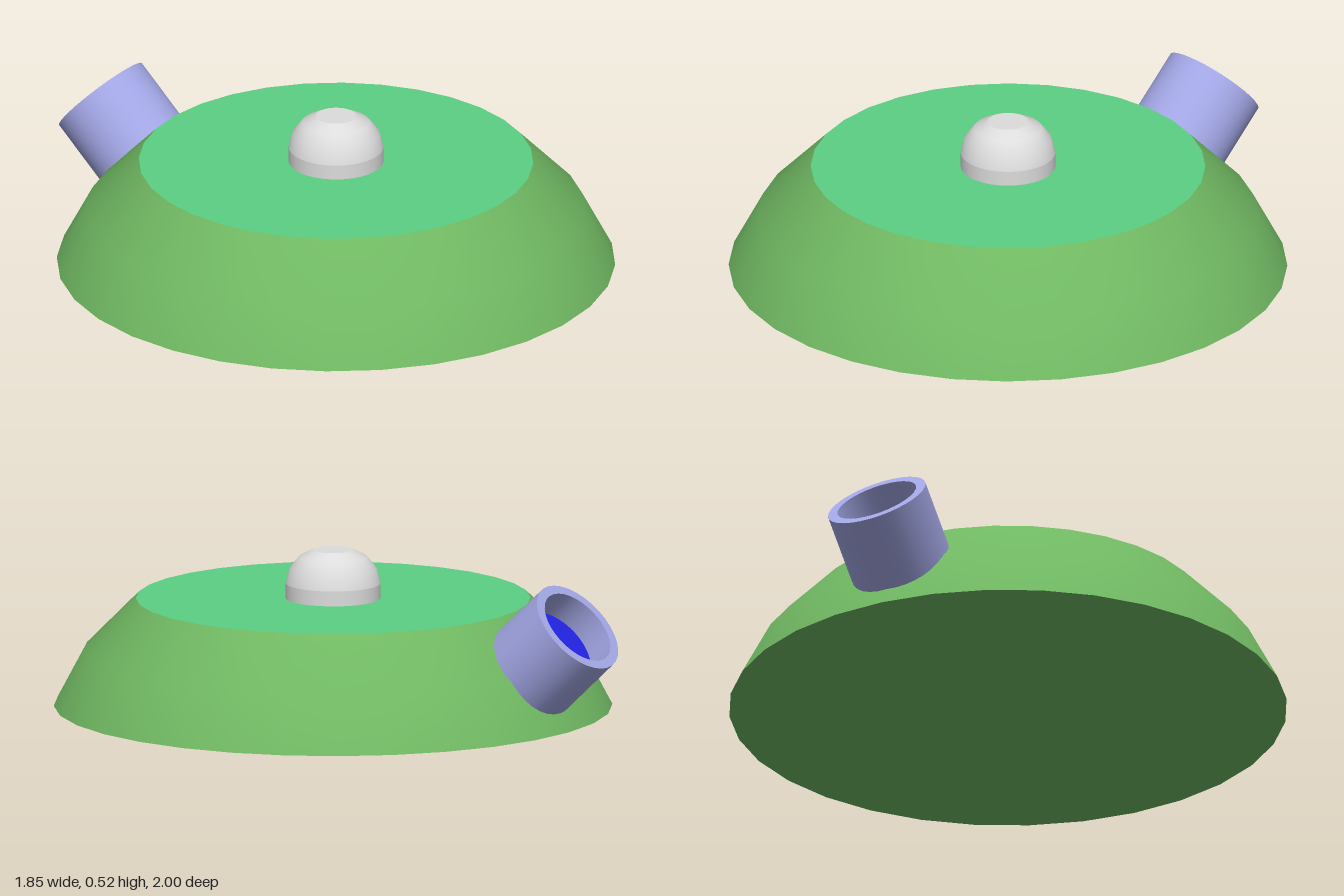
import * as THREE from 'three';

const mat = (name, color) => {
  const m = new THREE.MeshStandardMaterial({ color });
  m.name = name;
  return m;
};

export function createModel() {
  const model = new THREE.Group();
  model.name = 'discWithSpout';
  const green = mat('leafGreen', 0x70b862);
  const mint = mat('mintGreen', 0x5acf83);
  const grey = mat('lightGrey', 0xdcdcdc);
  const lilac = mat('lilac', 0xa2a6e4);
  const blue = mat('deepBlue', 0x2323e4);

  // Each lathe is smooth along its own profile; separate pieces keep sharp edges
  const lathe = (parent, name, material, profile) => {
    const points = profile.map(([r, y]) => new THREE.Vector2(r, y));
    const mesh = new THREE.Mesh(new THREE.LatheGeometry(points, 32), material);
    mesh.name = name;
    parent.add(mesh);
    return mesh;
  };

  // Round body, sitting slightly forward of the centre
  const body = new THREE.Group();
  body.name = 'body';
  body.position.z = 0.077;
  model.add(body);
  lathe(body, 'bodySide', green, [[0.923, 0], [0.825, 0.185], [0.652, 0.36]]);
  lathe(body, 'bodyUnderside', green, [[0, 0], [0.923, 0]]);
  lathe(body, 'topPlate', mint, [[0.652, 0.36], [0, 0.36]]);

  // Knob: short collar, rounded shoulder and flat cap
  lathe(body, 'knobCollar', grey, [[0.157, 0.36], [0.157, 0.41]]);
  lathe(body, 'knobShoulder', grey, [[0.157, 0.41], [0.144, 0.46], [0.112, 0.499], [0.067, 0.522]]);
  lathe(body, 'knobCap', grey, [[0.067, 0.522], [0, 0.522]]);

  // Hollow spout leaning out of the back, its origin at the centre of the rim
  const spout = new THREE.Group();
  spout.name = 'spout';
  spout.position.set(0, 0.358, -0.882);
  spout.rotation.x = -0.823;
  model.add(spout);
  lathe(spout, 'spoutOuter', lilac, [[0.171, -0.32], [0.171, 0]]);
  lathe(spout, 'spoutRim', lilac, [[0.171, 0], [0.138, 0]]);
  lathe(spout, 'spoutBore', lilac, [[0.138, 0], [0.138, -0.12]]);
  lathe(spout, 'spoutFill', blue, [[0.138, -0.105], [0, -0.105]]);

  return model;
}
